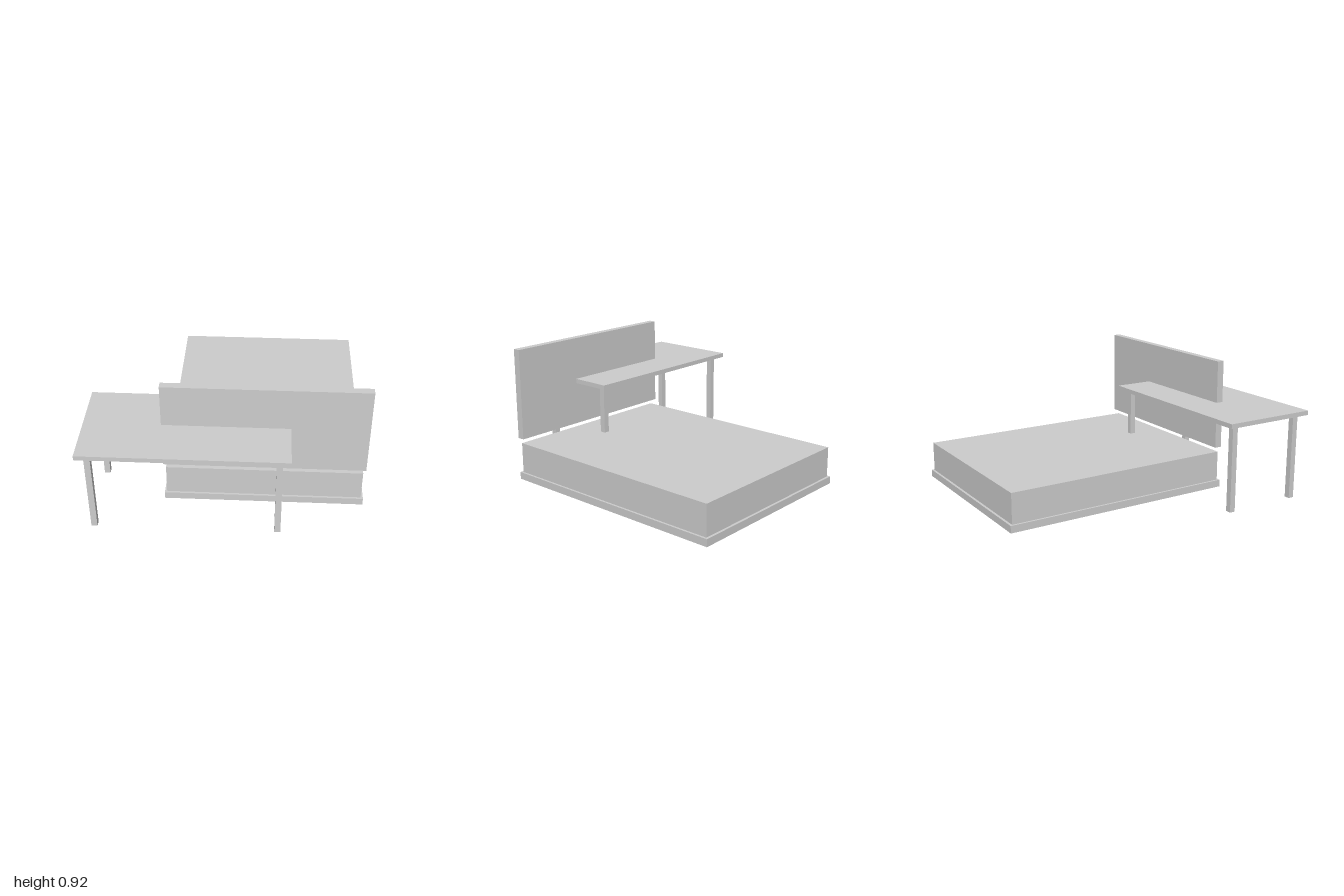
import * as THREE from 'three';

export function createModel() {
  const model = new THREE.Group();
  model.name = 'bedWithDesk';
  const grey = new THREE.MeshStandardMaterial({ color: 0xcccccc });
  grey.name = 'light grey';

  // Adds a box given its extent along each axis
  function addBox(name, [x0, x1], [y0, y1], [z0, z1], parent) {
    const mesh = new THREE.Mesh(new THREE.BoxGeometry(x1 - x0, y1 - y0, z1 - z0), grey);
    mesh.position.set((x0 + x1) / 2, (y0 + y1) / 2, (z0 + z1) / 2);
    mesh.name = name;
    parent.add(mesh);
  }

  // Bed: low base, inset mattress and a raised headboard
  const bed = new THREE.Group();
  bed.name = 'bed';
  addBox('bedBase', [-0.416, 0.914], [0, 0.05], [-1, 0.665], bed);
  addBox('mattress', [-0.401, 0.899], [0.05, 0.26], [-0.983, 0.65], bed);
  addBox('headboard', [-0.416, 0.914], [0.298, 0.92], [0.615, 0.665], bed);

  // Desk: thin top on four square legs, passing through the headboard
  const desk = new THREE.Group();
  desk.name = 'desk';
  addBox('deskTop', [-0.916, 0.414], [0.595, 0.626], [0.333, 1], desk);
  const half = 0.02;
  for (const x of [-0.847, 0.345]) {
    for (const z of [0.407, 0.933]) {
      addBox('deskLeg', [x - half, x + half], [0, 0.595], [z - half, z + half], desk);
    }
  }

  model.add(bed, desk);
  return model;
}
